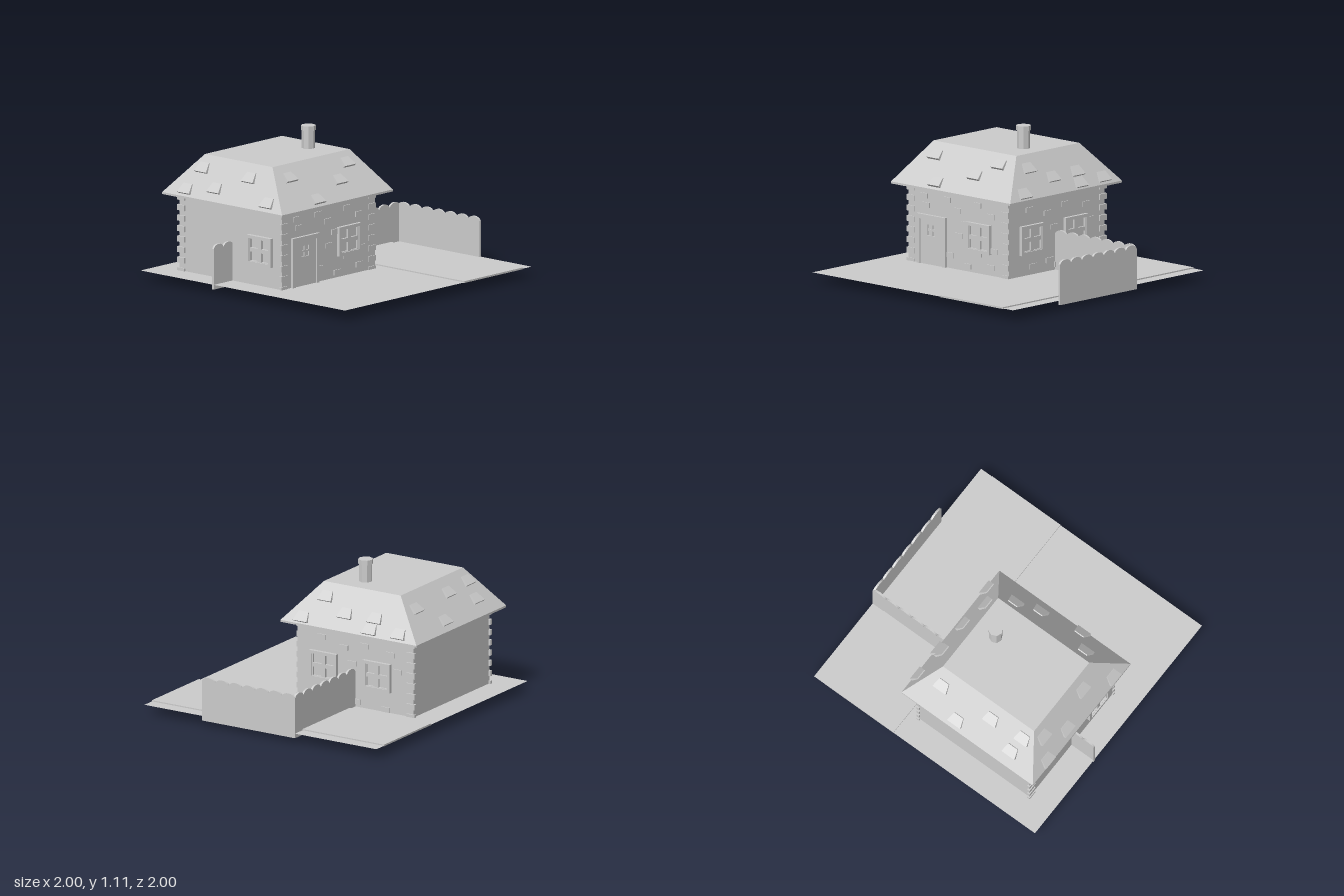
import * as THREE from 'three';

const grey = new THREE.MeshStandardMaterial({ color: 0xcccccc, flatShading: true, side: THREE.DoubleSide });

function mesh(name, geometry, x = 0, y = 0, z = 0) {
  const m = new THREE.Mesh(geometry, grey);
  m.name = name;
  m.position.set(x, y, z);
  return m;
}

// Box from its minimum and maximum corners
function block(name, [x0, y0, z0], [x1, y1, z1]) {
  return mesh(name, new THREE.BoxGeometry(x1 - x0, y1 - y0, z1 - z0), (x0 + x1) / 2, (y0 + y1) / 2, (z0 + z1) / 2);
}

function rectPath(PathType, w, h, cx = 0, cy = 0) {
  const p = new PathType();
  p.moveTo(cx - w / 2, cy - h / 2);
  p.lineTo(cx + w / 2, cy - h / 2);
  p.lineTo(cx + w / 2, cy + h / 2);
  p.lineTo(cx - w / 2, cy + h / 2);
  p.closePath();
  return p;
}

// Flat plate with rectangular holes, extruded towards +z
function plate(name, w, h, depth, holes) {
  const s = rectPath(THREE.Shape, w, h);
  for (const [hw, hh, cx, cy] of holes) s.holes.push(rectPath(THREE.Path, hw, hh, cx, cy));
  return mesh(name, new THREE.ExtrudeGeometry(s, { depth, bevelEnabled: false }));
}

// Framed four-pane window, back face at local z = 0
function makeWindow(name) {
  const g = new THREE.Group();
  g.name = name;
  g.add(plate('windowFrame', 0.235, 0.215, 0.03, [[0.19, 0.17, 0, 0]]));
  const panes = [];
  for (const sx of [-1, 1]) for (const sy of [-1, 1]) panes.push([0.072, 0.066, sx * 0.053, sy * 0.048]);
  g.add(plate('windowSash', 0.19, 0.17, 0.02, panes));
  return g;
}

// Fence panel along local x with rounded picket tops
function makeFence(name, start, end, count) {
  const step = (end - start) / count;
  const s = new THREE.Shape();
  s.moveTo(start, 0.045);
  s.lineTo(start, 0.345);
  for (let i = 0; i < count; i++) {
    const a = start + i * step;
    s.bezierCurveTo(a + step * 0.15, 0.385, a + step * 0.85, 0.385, a + step, 0.345);
  }
  s.lineTo(end, 0.045);
  s.closePath();
  const geo = new THREE.ExtrudeGeometry(s, { depth: 0.016, bevelEnabled: false, curveSegments: 8 });
  geo.translate(0, 0, -0.008);
  return mesh(name, geo);
}

// Roof: eave rectangle, short vertical fascia, flat top rectangle
const eave = { x0: -0.885, x1: 0.287, z0: -0.295, z1: 0.893 };
const top = { x0: -0.63, x1: 0.03, z0: -0.112, z1: 0.713 };
const EAVE_Y = 0.66, TOP_Y = 0.95;

function makeRoof() {
  const ring = (r, y) => [[r.x0, y, r.z1], [r.x1, y, r.z1], [r.x1, y, r.z0], [r.x0, y, r.z0]];
  const rings = [ring(eave, 0.645), ring(eave, EAVE_Y), ring(top, TOP_Y)];
  const pos = [];
  const quad = (a, b, c, d) => pos.push(...a, ...b, ...c, ...a, ...c, ...d);
  for (let r = 0; r < 2; r++) {
    for (let i = 0; i < 4; i++) {
      const j = (i + 1) % 4;
      quad(rings[r][i], rings[r][j], rings[r + 1][j], rings[r + 1][i]);
    }
  }
  quad(...rings[2]);
  quad(...[...rings[0]].reverse());
  const geo = new THREE.BufferGeometry();
  geo.setAttribute('position', new THREE.Float32BufferAttribute(pos, 3));
  geo.computeVertexNormals();
  return mesh('roof', geo);
}

// Tapered shingle: wide thick lower end, narrow thin upper end
function shingleGeometry() {
  const geo = new THREE.BoxGeometry(0.118, 0.08, 1);
  const p = geo.attributes.position;
  for (let i = 0; i < p.count; i++) {
    const upper = p.getY(i) > 0;
    if (upper) p.setX(i, p.getX(i) * 0.7);
    p.setZ(i, p.getZ(i) < 0 ? -0.005 : upper ? 0.008 : 0.022);
  }
  geo.computeVertexNormals();
  return geo;
}

// Shingles on one slope; each spot is [distance along the eave axis, height]
function addShingles(group, side, spots) {
  const geo = shingleGeometry();
  const onX = side === 'x0' || side === 'x1';
  const sign = side.endsWith('1') ? 1 : -1;
  const out = onX ? new THREE.Vector3(sign, 0, 0) : new THREE.Vector3(0, 0, sign);
  const up = out.clone().multiplyScalar(-Math.abs(eave[side] - top[side]));
  up.y = TOP_Y - EAVE_Y;
  up.normalize();
  const along = new THREE.Vector3(0, 1, 0).cross(out);
  const normal = along.clone().cross(up);
  for (const [t, y] of spots) {
    const d = THREE.MathUtils.mapLinear(y, EAVE_Y, TOP_Y, eave[side], top[side]);
    const m = mesh('shingle', geo, onX ? d : t, y, onX ? t : d);
    m.quaternion.setFromRotationMatrix(new THREE.Matrix4().makeBasis(along, up, normal));
    group.add(m);
  }
}

export function createModel() {
  const model = new THREE.Group();
  model.name = 'cottage';

  // Ground with a raised strip behind the house
  const ground = mesh('ground', new THREE.PlaneGeometry(2, 2), 0, 0.08, 0);
  ground.rotation.x = -Math.PI / 2;
  model.add(ground);
  model.add(block('raisedStrip', [-1, 0.076, -0.9], [1, 0.089, -0.28]));

  // House body
  model.add(block('walls', [-0.8, 0.045, -0.2], [0.2, 0.65, 0.8]));

  // Corner stones
  for (let i = 0; i < 8; i++) {
    const y0 = 0.06 + i * 0.0775, y1 = y0 + 0.042;
    for (const [z0, z1] of [[0.74, 0.812], [-0.2, -0.128]]) {
      model.add(block('cornerStone', [0.19, y0, z0], [0.208, y1, z1]));
    }
    for (const [z0, z1] of [[0.79, 0.812], [-0.212, -0.19]]) {
      model.add(block('cornerStone', [-0.815, y0, z0], [-0.743, y1, z1]));
    }
  }

  // Loose bricks on the right wall (z, y) and back wall (x, y)
  const rightBricks = [[0.645, 0.58], [0.415, 0.58], [0.11, 0.58], [0.625, 0.513], [0.313, 0.513], [-0.02, 0.513],
    [0.297, 0.33], [0.388, 0.176], [0.21, 0.118], [-0.025, 0.139], [0.105, 0.222], [0.235, 0.422], [-0.05, 0.262]];
  for (const [z, y] of rightBricks) model.add(mesh('brick', new THREE.BoxGeometry(0.02, 0.038, 0.072), 0.198, y, z));
  const backBricks = [[-0.01, 0.56], [-0.2, 0.51], [-0.38, 0.55], [-0.6, 0.52], [-0.27, 0.4], [-0.66, 0.4],
    [-0.22, 0.16], [-0.31, 0.12], [-0.05, 0.14], [-0.56, 0.1]];
  for (const [x, y] of backBricks) model.add(mesh('brick', new THREE.BoxGeometry(0.072, 0.038, 0.02), x, y, -0.198));

  // Windows: front, right and two at the back
  const windows = [['frontWindow', 0, 0.802, 0], ['rightWindow', 0.195, 0.092, Math.PI / 2],
    ['backWindow', -0.03, -0.195, Math.PI], ['backWindow', -0.49, -0.195, Math.PI]];
  for (const [name, x, z, turn] of windows) {
    const w = makeWindow(name);
    w.position.set(x, 0.342, z);
    w.rotation.y = turn;
    model.add(w);
  }

  // Door with frame, threshold and a small pane
  const door = new THREE.Group();
  door.name = 'door';
  door.add(plate('doorFrame', 0.285, 0.44, 0.035, [[0.225, 0.375, 0, -0.002]]));
  const leaf = plate('doorLeaf', 0.225, 0.375, 0.024, [[0.08, 0.08, 0, 0.11]]);
  leaf.position.y = -0.002;
  door.add(leaf);
  door.add(mesh('doorPaneBarUpright', new THREE.BoxGeometry(0.014, 0.08, 0.012), 0, 0.108, 0.016));
  door.add(mesh('doorPaneBarLevel', new THREE.BoxGeometry(0.08, 0.014, 0.012), 0, 0.108, 0.016));
  door.position.set(0.187, 0.225, 0.56);
  door.rotation.y = Math.PI / 2;
  model.add(door);

  // Roof, shingles and chimney
  model.add(makeRoof());
  const shingles = new THREE.Group();
  shingles.name = 'shingles';
  addShingles(shingles, 'z1', [[-0.595, 0.862], [-0.135, 0.855], [-0.675, 0.71], [-0.41, 0.748], [0.115, 0.718]]);
  addShingles(shingles, 'x1', [[-0.01, 0.88], [0.157, 0.79], [0.475, 0.706], [0.615, 0.868]]);
  addShingles(shingles, 'x0', [[-0.05, 0.85], [0.165, 0.725], [0.39, 0.86], [0.63, 0.765], [0.665, 0.875]]);
  addShingles(shingles, 'z0', [[-0.715, 0.71], [-0.47, 0.705], [-0.485, 0.78], [-0.23, 0.775], [-0.03, 0.86], [0.115, 0.705]]);
  model.add(shingles);
  model.add(mesh('chimney', new THREE.CylinderGeometry(0.048, 0.048, 0.2, 8), -0.22, 1.01, 0.055));
  model.add(mesh('chimneyCap', new THREE.CylinderGeometry(0.055, 0.055, 0.035, 8), -0.22, 1.1, 0.055));

  // Fences: back panel, side panel behind the house, short piece in front
  const backFence = makeFence('backFence', -0.298, 0.505, 7);
  backFence.position.z = -0.992;
  const sideFence = makeFence('sideFence', 0.2, 1, 7);
  const frontFence = makeFence('frontFence', -1, -0.79, 2);
  for (const f of [sideFence, frontFence]) {
    f.position.x = -0.29;
    f.rotation.y = Math.PI / 2;
  }
  model.add(backFence, sideFence, frontFence);

  return model;
}
